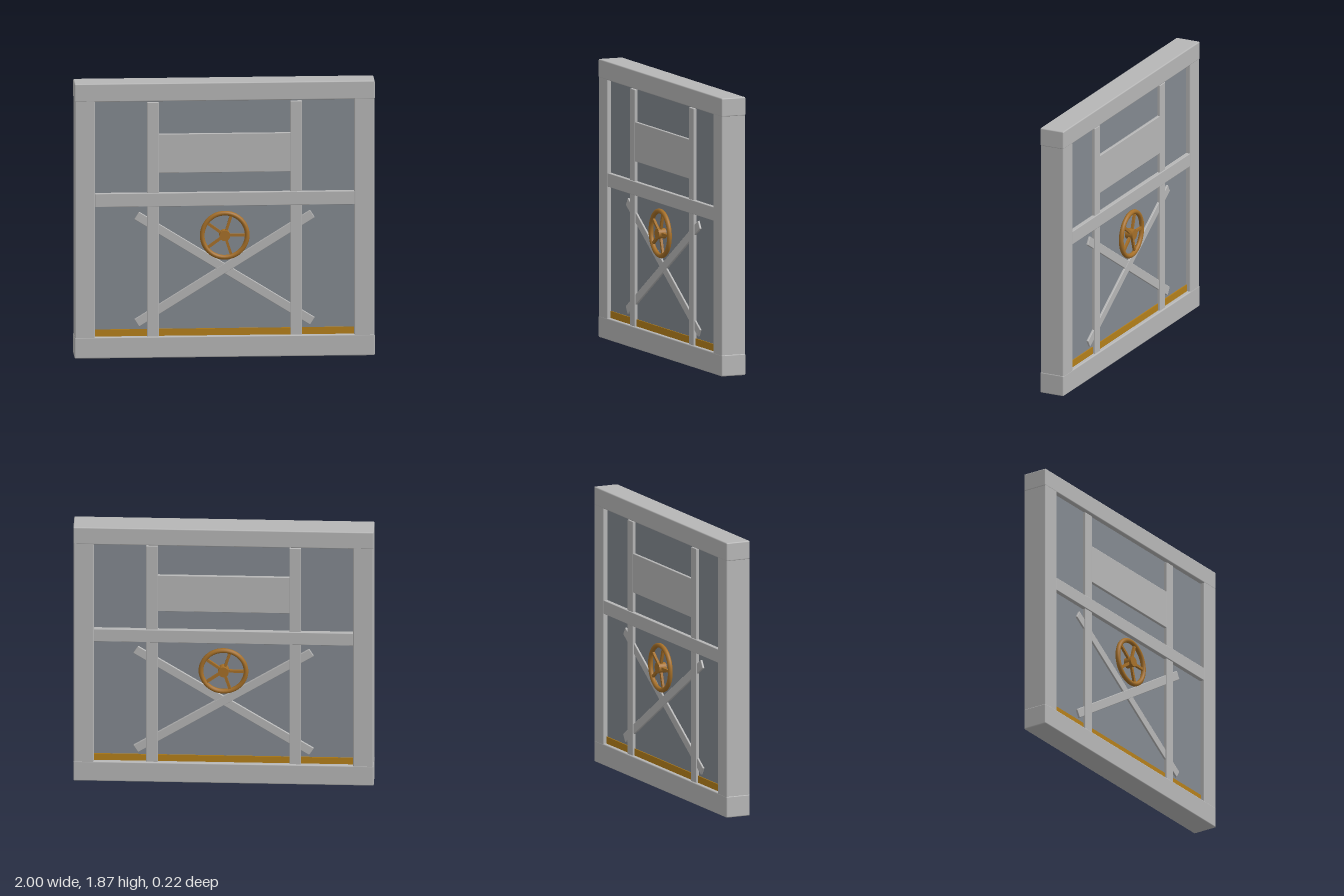
import * as THREE from 'three';
import { RoundedBoxGeometry } from 'three/addons/geometries/RoundedBoxGeometry.js';

const material = (name, color) => {
  const m = new THREE.MeshStandardMaterial({ color });
  m.name = name;
  return m;
};

export function createModel() {
  const steel = material('light grey steel', 0xb6b6b6);
  const panelGrey = material('blue grey panel', 0x838990);
  const amber = material('amber strip', 0xb47f1a);
  const bronze = material('bronze wheel', 0xa56f28);

  const model = new THREE.Group();
  model.name = 'bulkheadDoor';

  const add = (parent, name, geometry, mat, x, y, z = 0) => {
    const mesh = new THREE.Mesh(geometry, mat);
    mesh.name = name;
    mesh.position.set(x, y, z);
    parent.add(mesh);
    return mesh;
  };
  const bar = (w, h, d, r = 0.004) => new RoundedBoxGeometry(w, h, d, 2, r);

  // Outer frame: full-width beams with posts between them
  add(model, 'topBeam', bar(2, 0.125, 0.175, 0.008), steel, 0, 1.8075);
  add(model, 'bottomBeam', bar(2, 0.145, 0.175, 0.008), steel, 0, 0.0725);
  for (const s of [-1, 1]) {
    add(model, s > 0 ? 'leftPost' : 'rightPost', bar(0.135, 1.76, 0.173, 0.008), steel, s * 0.93, 0.935);
  }

  // Recessed door panel
  add(model, 'doorPanel', new THREE.BoxGeometry(1.74, 1.62, 0.11), panelGrey, 0, 0.945);

  // Hand wheel with five spokes
  const makeWheel = () => {
    const wheel = new THREE.Group();
    wheel.name = 'handWheel';
    add(wheel, 'rim', new THREE.TorusGeometry(0.15, 0.016, 12, 48), bronze, 0, 0, 0.086);
    const hub = add(wheel, 'hub', new THREE.CylinderGeometry(0.036, 0.036, 0.06, 24), bronze, 0, 0, 0.081);
    hub.rotation.x = Math.PI / 2;
    for (let i = 0; i < 5; i++) {
      const a = (i * Math.PI * 2) / 5;
      const spoke = add(wheel, 'spoke', new THREE.BoxGeometry(0.12, 0.018, 0.016), bronze,
        Math.cos(a) * 0.085, Math.sin(a) * 0.085, 0.086);
      spoke.rotation.z = a;
    }
    return wheel;
  };

  // The same bracing and wheel on both faces
  for (const turn of [0, Math.PI]) {
    const face = new THREE.Group();
    face.name = turn ? 'backFace' : 'frontFace';
    face.rotation.y = turn;
    model.add(face);

    add(face, 'bottomStrip', new THREE.BoxGeometry(1.726, 0.05, 0.009), amber, 0, 0.167, 0.0575);
    for (const s of [-1, 1]) {
      add(face, 'uprightBar', bar(0.078, 1.595, 0.024), steel, s * 0.477, 0.9385, 0.064);
      const brace = add(face, 'crossBrace', bar(1.38, 0.06, 0.016), steel, 0, 0.6, 0.06 + s * 0.0005);
      brace.rotation.z = s * 0.558;
    }
    add(face, 'upperPlate', bar(0.9, 0.265, 0.022), steel, 0, 1.3875, 0.063);
    add(face, 'middleBar', bar(1.728, 0.092, 0.034), steel, 0, 1.075, 0.067);

    const wheel = makeWheel();
    wheel.position.y = 0.83;
    face.add(wheel);
  }

  return model;
}
